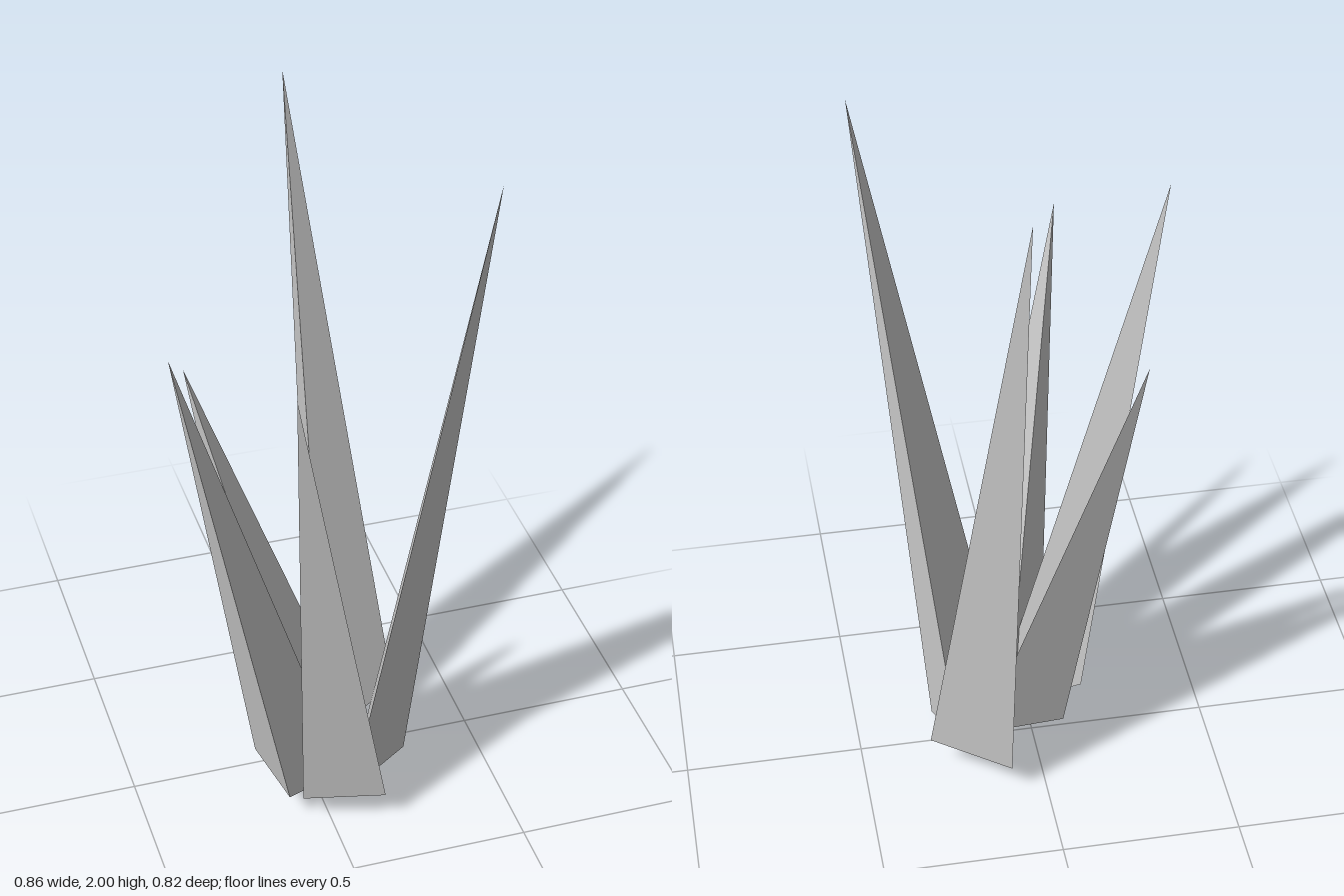
import * as THREE from 'three';

// Each spike: a tip and the three corners of its slanted base
const spikes = {
  backSpike: [[0.07, 2, -0.41], [0.31, 0.1, -0.105], [0.1, 0.09, -0.25], [0.087, 0.03, -0.015]],
  leftSpike: [[0.43, 1.98, 0.288], [0.225, 0.05, -0.07], [0.28, 0.03, 0.09], [0.06, 0.09, 0.285]],
  rightSpike: [[-0.43, 1.63, 0.293], [0.1, 0, 0.105], [-0.155, 0.1, 0.052], [-0.115, 0.09, 0.267]],
  frontSpike: [[-0.135, 1.53, 0.41], [0.145, 0.09, 0.335], [-0.077, 0.08, 0.272], [0.058, 0.05, 0.055]],
  backRightSpike: [[-0.295, 1.325, -0.106], [0.163, 0.09, -0.09], [0.013, 0.05, 0.16], [-0.09, 0.04, -0.02]],
};

// Closed three-sided spike with flat faces
function spikeGeometry(corners) {
  const [tip, a, b, c] = corners.map((p) => new THREE.Vector3(...p));
  const middle = new THREE.Vector3().add(tip).add(a).add(b).add(c).divideScalar(4);
  const points = [];
  for (const [p, q, r] of [[tip, a, b], [tip, b, c], [tip, c, a], [a, b, c]]) {
    // Turn each face outward from the middle of the spike
    const normal = q.clone().sub(p).cross(r.clone().sub(p));
    const outward = normal.dot(p.clone().sub(middle)) > 0;
    points.push(...(outward ? [p, q, r] : [p, r, q]));
  }
  const geometry = new THREE.BufferGeometry().setFromPoints(points);
  geometry.computeVertexNormals();
  return geometry;
}

export function createModel() {
  const group = new THREE.Group();
  group.name = 'spikeCluster';
  const material = new THREE.MeshStandardMaterial({ color: 0xcccccc, flatShading: true });
  for (const [name, corners] of Object.entries(spikes)) {
    const spike = new THREE.Mesh(spikeGeometry(corners), material);
    spike.name = name;
    group.add(spike);
  }
  return group;
}
